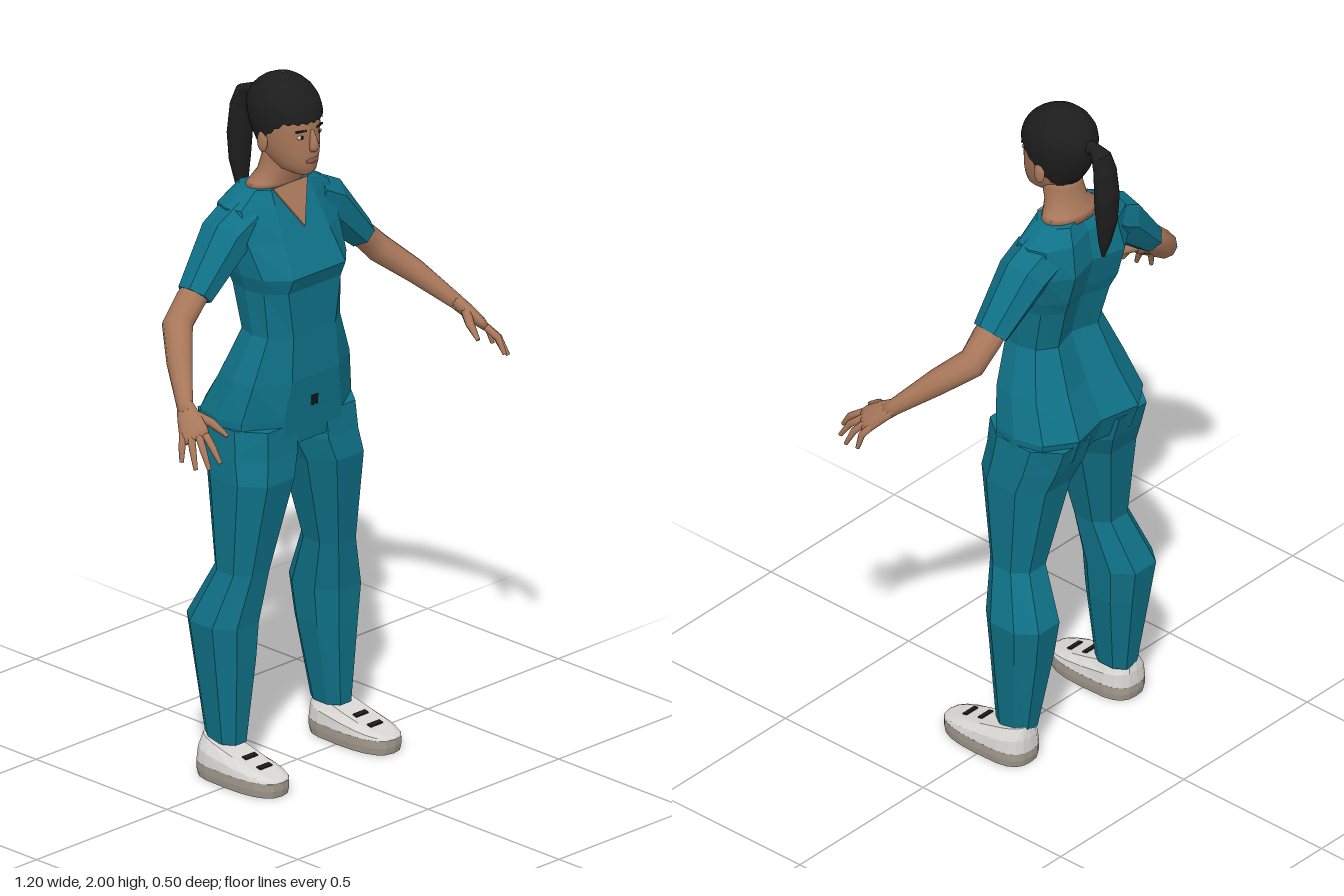
import * as THREE from 'three';

const mat = (name, color, extra = {}) => Object.assign(new THREE.MeshStandardMaterial({ color, ...extra }), { name });
const V = (x, y, z) => new THREE.Vector3(x, y, z);

// Skins a list of equal-sized rings; caps are fans around each end's centre.
function loft(rings, capped = true) {
  const n = rings[0].length, pos = [], idx = [];
  rings.forEach(r => r.forEach(p => pos.push(p.x, p.y, p.z)));
  for (let i = 0; i < rings.length - 1; i++) for (let j = 0; j < n; j++) {
    const a = i * n + j, b = i * n + (j + 1) % n;
    idx.push(a, b, b + n, a, b + n, a + n);
  }
  if (capped) [0, rings.length - 1].forEach((i, end) => {
    const c = rings[i].reduce((s, p) => s.add(p), V(0, 0, 0)).divideScalar(n);
    const k = pos.length / 3;
    pos.push(c.x, c.y, c.z);
    for (let j = 0; j < n; j++) {
      const a = i * n + j, b = i * n + (j + 1) % n;
      end ? idx.push(a, b, k) : idx.push(b, a, k);
    }
  });
  const g = new THREE.BufferGeometry();
  g.setAttribute('position', new THREE.Float32BufferAttribute(pos, 3));
  g.setIndex(idx);
  return g;
}

// Turns faces outward, then makes flat or smooth normals.
function finish(g, flat) {
  g.computeBoundingBox();
  const c = g.boundingBox.getCenter(V(0, 0, 0)), p = g.attributes.position, ix = g.index.array;
  const at = i => V(0, 0, 0).fromBufferAttribute(p, i).sub(c);
  let vol = 0;
  for (let i = 0; i < ix.length; i += 3) vol += at(ix[i]).dot(at(ix[i + 1]).cross(at(ix[i + 2])));
  if (vol < 0) for (let i = 0; i < ix.length; i += 3) [ix[i], ix[i + 1]] = [ix[i + 1], ix[i]];
  const out = flat ? g.toNonIndexed() : g;
  out.computeVertexNormals();
  return out;
}

// Horizontal oval ring
const oval = (y, w, zf, zb, n = 24) => Array.from({ length: n }, (_, i) => {
  const a = i / n * Math.PI * 2;
  return V(w * Math.sin(a), y, (zf + zb) / 2 + (zf - zb) / 2 * Math.cos(a));
});

// Rings along a path of [x, y, z, radius along ref, radius across]
function limb(path, n, ref = V(0, 0, 1)) {
  const pts = path.map(p => V(p[0], p[1], p[2]));
  return loft(path.map((p, i) => {
    const t = pts[Math.min(i + 1, pts.length - 1)].clone().sub(pts[Math.max(i - 1, 0)]).normalize();
    const u = ref.clone().addScaledVector(t, -ref.dot(t)).normalize(), v = t.clone().cross(u);
    return Array.from({ length: n }, (_, j) => {
      const a = (j + 0.5) / n * Math.PI * 2;
      return pts[i].clone().addScaledVector(u, Math.cos(a) * p[3]).addScaledVector(v, Math.sin(a) * p[4]);
    });
  }));
}

// Head profile: height, half width, front z, back z
const HEAD = [
  [1.728, .022, .045, -.02], [1.74, .044, .057, -.06], [1.765, .06, .061, -.1], [1.79, .07, .062, -.12],
  [1.82, .078, .06, -.135], [1.86, .085, .058, -.15], [1.9, .088, .056, -.157], [1.93, .083, .045, -.152],
  [1.955, .07, .026, -.135], [1.975, .05, 0, -.11], [1.988, .028, -.025, -.083], [1.993, .002, -.053, -.057]];
function headAt(y) {
  let i = 0;
  while (i < HEAD.length - 2 && HEAD[i + 1][0] < y) i++;
  const t = THREE.MathUtils.clamp((y - HEAD[i][0]) / (HEAD[i + 1][0] - HEAD[i][0]), 0, 1);
  return HEAD[i].map((v, k) => THREE.MathUtils.lerp(v, HEAD[i + 1][k], t));
}

export function createModel() {
  const root = new THREE.Group();
  root.name = 'medicalWorker';
  const teal = mat('scrubs teal', 0x0f7187), skin = mat('skin', 0xa8775a);
  const hair = mat('hair black', 0x1d1d1e, { side: THREE.DoubleSide });
  const upper = mat('shoe light grey', 0xd6d5d2), sole = mat('sole warm grey', 0xa39a8d);
  const dark = mat('detail black', 0x1b1b1b), lip = mat('lips', 0x8a5547), white = mat('eye white', 0xcfc4ba);

  const put = (name, g, m, flat = false) => {
    const mesh = new THREE.Mesh(finish(g, flat), m);
    mesh.name = name;
    root.add(mesh);
    return mesh;
  };
  const pair = (name, g, m, flat = false) => {
    put(name + 'Right', g.clone().scale(-1, 1, 1), m, flat);
    put(name + 'Left', g, m, flat);
  };
  const ball = (x, y, z, sx, sy, sz) => new THREE.SphereGeometry(1, 14, 10).scale(sx, sy, sz).translate(x, y, z);

  // Scrub top: height, half width, front z, back z, front and back facet half widths
  const torso = [
    [1.68, .11, -.03, -.15, .07, .07], [1.64, .18, -.01, -.178, .075, .09], [1.55, .186, .036, -.196, .087, .1],
    [1.455, .172, .085, -.17, .1, .1], [1.41, .157, .066, -.15, .1, .09], [1.28, .148, .066, -.116, .08, .08],
    [1.15, .198, .07, -.17, .09, .1], [1.04, .226, .06, -.228, .11, .12], [.96, .222, .055, -.2, .1, .12]];
  put('scrubTop', loft(torso.map(([y, w, zf, zb, xf, xb]) => {
    const zm = (zf + zb) / 2;
    const half = [[xf, zf], [w * .93, zf * .55 + zm * .45], [w, zm], [w * .9, zb * .6 + zm * .4], [xb, zb]];
    return [...half, [0, zb + .025], ...half.map(([x, z]) => [-x, z]).reverse()].map(([x, z]) => V(x, y, z));
  })), teal, true);

  // Neckline opening, lying on the chest slope
  const vee = new THREE.Shape([[-.066, 0], [0, -.124], [.066, 0]].map(p => new THREE.Vector2(...p)));
  const neckline = new THREE.Mesh(new THREE.ExtrudeGeometry(vee, { depth: .005, bevelEnabled: false }), skin);
  neckline.name = 'neckline';
  neckline.position.set(0, 1.681, -.031);
  neckline.rotation.x = -.472;
  root.add(neckline);

  // Waist tie
  put('waistTie', new THREE.BoxGeometry(.022, .008, .008).translate(0, 1.085, .066), dark, true);
  pair('tieEnd', new THREE.BoxGeometry(.005, .022, .008).translate(.007, 1.072, .065), dark, true);

  // Trouser legs: height, inner x, outer x, front z, back z
  const leg = [
    [1.02, .002, .222, .055, -.215], [.94, .002, .23, .06, -.19], [.87, .03, .236, .07, -.162],
    [.6, .1, .232, .025, -.117], [.45, .112, .28, .006, -.186], [.34, .122, .268, 0, -.17], [.1, .16, .242, -.015, -.13]];
  const corners = [[.5, 1], [1, .45], [1, -.45], [.5, -1], [-.5, -1], [-1, -.45], [-1, .45], [-.5, 1]];
  pair('trouserLeg', loft(leg.map(([y, a, b, zf, zb]) => corners.map(([u, v]) =>
    V((a + b) / 2 + u * (b - a) / 2, y, (zf + zb) / 2 + v * (zf - zb) / 2)))), teal, true);

  // Sleeves and arms
  pair('sleeve', limb([[.12, 1.598, -.09, .08, .066], [.19, 1.56, -.088, .076, .07], [.315, 1.43, -.08, .055, .045]], 7), teal, true);
  pair('arm', limb([[.29, 1.455, -.08, .044, .036], [.33, 1.42, -.08, .046, .038], [.385, 1.365, -.075, .044, .04],
    [.45, 1.3, -.002, .037, .034], [.52, 1.215, .088, .023, .022], [.53, 1.2, .105, .024, .02]], 10), skin);

  // Hands: palm, four fingers and a thumb
  const across = V(.45, -.09, -.89);
  pair('palm', limb([[.516, 1.22, .083, .022, .019], [.532, 1.195, .115, .033, .02], [.551, 1.163, .153, .043, .015],
    [.556, 1.15, .168, .04, .01]], 10, across), skin);
  [[.545, 1.1, .25], [.573, 1.085, .235], [.59, 1.08, .2], [.596, 1.09, .152]].forEach((tip, i) => {
    const base = V(.552, 1.16, .158).addScaledVector(across, -.032 + i * .0215);
    const end = V(...tip), mid = base.clone().lerp(end, .5).add(V(.006, .008, .004));
    pair('finger' + (i + 1), limb([[...base, .011, .011], [...mid, .01, .01], [...end, .006, .006]], 7), skin);
  });
  pair('thumb', limb([[.526, 1.205, .115, .016, .014], [.495, 1.18, .165, .013, .013], [.48, 1.15, .212, .006, .006]], 7), skin);

  // Neck and head
  put('neck', loft([oval(1.672, .108, -.032, -.148), oval(1.69, .085, -.024, -.14), oval(1.715, .064, -.018, -.125),
    oval(1.76, .058, -.005, -.112), oval(1.8, .058, 0, -.11)]), skin);
  put('head', loft(HEAD.map(r => oval(...r))), skin);
  pair('ear', ball(.084, 1.822, -.05, .01, .031, .018), skin);
  put('nose', limb([[0, 1.862, .052, .008, .007], [0, 1.835, .061, .012, .011], [0, 1.816, .067, .014, .016],
    [0, 1.805, .06, .009, .013]], 8), skin);
  put('lips', ball(0, 1.774, .057, .023, .009, .009), lip);
  pair('eye', ball(.033, 1.846, .046, .014, .006, .006), white);
  pair('iris', ball(.033, 1.846, .05, .005, .0055, .004), dark);
  pair('brow', new THREE.BoxGeometry(.032, .005, .006).rotateY(.3).translate(.034, 1.864, .049), dark, true);

  // Hair cap following the skull, down to a slightly ragged hairline
  const N = 48, cap = [];
  for (let i = 0; i <= 12; i++) cap.push(Array.from({ length: N }, (_, j) => {
    const a = j / N * Math.PI * 2, c = Math.cos(a);
    const rim = 1.83 + (c > 0 ? .05 * Math.min(1, c * 1.6) : .085 * c) + (j % 2 ? .004 : -.002);
    const y = rim + (1.993 - rim) * Math.sin(i / 12 * Math.PI / 2);
    const [, w, zf, zb] = headAt(y);
    return V(w * 1.07 * Math.sin(a), y + .006, (zf + zb) / 2 + (zf - zb) / 2 * 1.07 * c);
  }));
  put('hairCap', loft(cap, false), hair);

  // Ponytail with lengthwise strands
  const tail = limb([[0, 1.91, -.14, .022, .022], [0, 1.915, -.175, .018, .018], [0, 1.9, -.2, .03, .026], [0, 1.86, -.214, .036, .028],
    [0, 1.78, -.22, .041, .03], [0, 1.7, -.22, .034, .026], [0, 1.63, -.213, .02, .016], [0, 1.58, -.207, .005, .005]], 18, V(1, 0, 0));
  put('ponytail', tail, hair, true);

  // Shoes: footprint rings with a wedge-shaped upper
  const top = z => .05 + (.15 - z) / .29 * .07;
  const foot = (sx, sz, height) => Array.from({ length: 20 }, (_, i) => {
    const a = i / 20 * Math.PI * 2, c = Math.cos(a), s = Math.sin(a), e = c < 0 ? .5 : .85;
    const z = .01 + Math.sign(c) * Math.abs(c) ** e * .15 * sz;
    return V(.215 + Math.sign(s) * Math.abs(s) ** .75 * .07 * sx, height(z), z);
  });
  pair('sole', loft([foot(.96, .97, () => 0), foot(1, 1, () => .02), foot(1, 1, () => .042)]), sole, true);
  pair('shoeUpper', loft([foot(1, 1, () => .041), foot(.92, .98, z => .041 + (top(z) - .041) * .55),
    foot(.62, .93, top)]), upper, true);
  [.03, .085].forEach((z, i) => pair('lace' + (i + 1),
    new THREE.BoxGeometry(.046, .008, .015).rotateX(.237).translate(.212, top(z), z), dark, true));

  return root;
}
